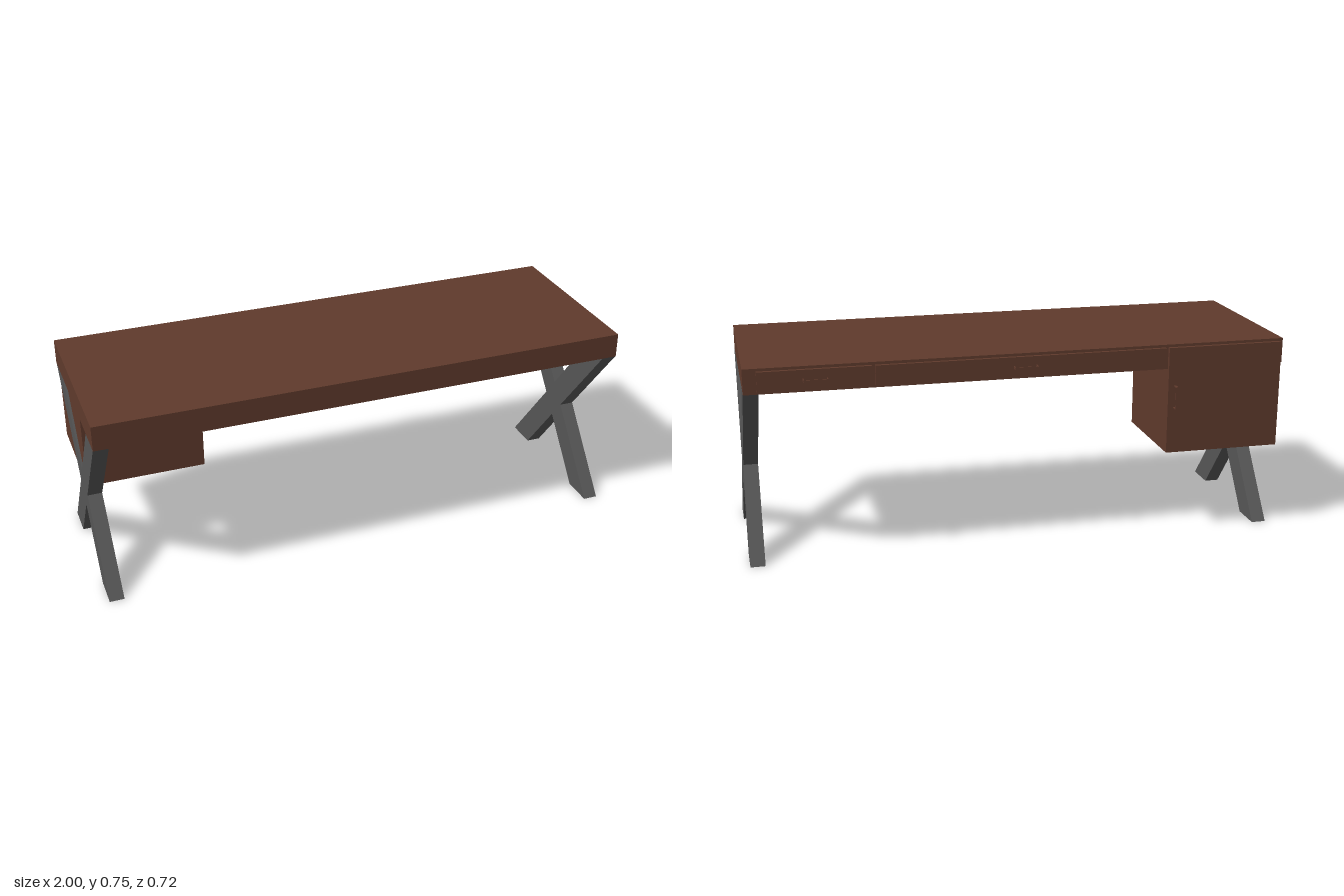
import * as THREE from 'three';

export function createModel() {
  const desk = new THREE.Group();
  desk.name = 'desk';
  const wood = new THREE.MeshStandardMaterial({ name: 'brown wood', color: 0x5f3a2c });
  const metal = new THREE.MeshStandardMaterial({ name: 'grey metal', color: 0x565656 });

  // Box given by its lower and upper corners
  function box(name, [x0, y0, z0], [x1, y1, z1], parent = desk) {
    const mesh = new THREE.Mesh(new THREE.BoxGeometry(x1 - x0, y1 - y0, z1 - z0), wood);
    mesh.position.set((x0 + x1) / 2, (y0 + y1) / 2, (z0 + z1) / 2);
    mesh.name = name;
    parent.add(mesh);
  }

  // Slab top, with drawer fronts along the back and a hanging cabinet
  box('desktop', [-0.998, 0.654, -0.323], [0.989, 0.746, 0.363]);
  box('middleDrawerFront', [-0.537, 0.663, -0.336], [0.532, 0.736, -0.322]);
  box('sideDrawerFront', [0.545, 0.663, -0.336], [0.942, 0.736, -0.322]);
  box('cabinet', [-0.988, 0.334, -0.325], [-0.548, 0.655, 0.063]);
  box('cabinetDoor', [-0.988, 0.334, -0.337], [-0.548, 0.736, -0.323]);

  // Pull handle: a flat strip bent into a U
  function handle(name, x, y, vertical) {
    const group = new THREE.Group();
    group.name = name;
    const half = 0.043, wide = 0.0045, thick = 0.003;
    box('grip', [-half, -wide, -0.025], [half, wide, -0.025 + thick], group);
    box('postA', [-half, -wide, -0.024], [-half + thick, wide, 0.001], group);
    box('postB', [half - thick, -wide, -0.024], [half, wide, 0.001], group);
    group.position.set(x, y, -0.336);
    if (vertical) group.rotation.z = Math.PI / 2;
    desk.add(group);
  }
  handle('middleDrawerHandle', -0.005, 0.7, false);
  handle('sideDrawerHandle', 0.742, 0.7, false);
  handle('doorHandle', -0.574, 0.55, true);

  // Crossed legs: outline in (-z, y), extruded along x, leaning slightly outward
  const H = 0.654, width = 0.054;
  const outline = new THREE.Shape([
    [-0.327, 0], [-0.207, 0], [-0.022, 0.232], [0.163, 0], [0.284, 0], [0.037, 0.307],
    [0.317, H], [0.195, H], [-0.022, 0.382], [-0.237, H], [-0.36, H], [-0.082, 0.307],
  ].map(([a, b]) => new THREE.Vector2(a, b)));
  function crossLeg(name, x) {
    const geo = new THREE.ExtrudeGeometry(outline, { depth: width, bevelEnabled: false });
    geo.rotateY(Math.PI / 2);
    const p = geo.attributes.position;
    for (let i = 0; i < p.count; i++) p.setX(i, p.getX(i) + x - 0.008 * p.getY(i) / H);
    geo.computeVertexNormals();
    const mesh = new THREE.Mesh(geo, metal);
    mesh.name = name;
    desk.add(mesh);
  }
  crossLeg('leftLeg', 0.944);
  crossLeg('rightLeg', -0.99);

  return desk;
}
